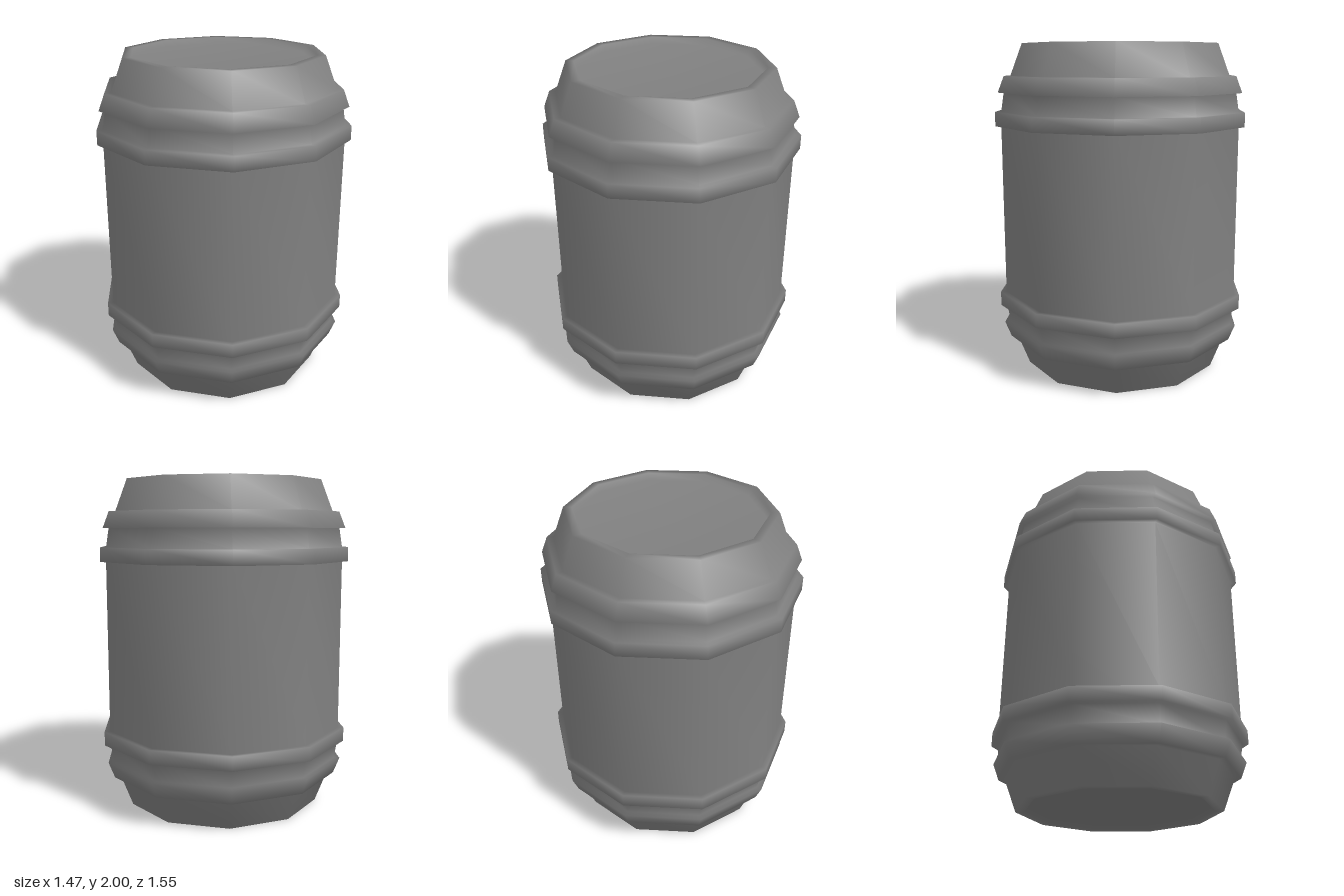
import * as THREE from 'three';
import { mergeVertices } from 'three/addons/utils/BufferGeometryUtils.js';

const SIDES = 10;

export function createModel() {
  const group = new THREE.Group();

  // Lower half profile as [radius, y], from the lid centre up to mid height
  const lowerHalf = [
    [0, 0.04], [0.54, 0.04],                                      // recessed lid
    [0.555, 0], [0.605, 0],                                       // rim
    [0.678, 0.19], [0.717, 0.19], [0.755, 0.287], [0.72, 0.287],  // tapered hoop
    [0.738, 0.4], [0.775, 0.4], [0.775, 0.485], [0.74, 0.485],    // straight hoop
  ];
  // The upper half mirrors the lower one about y = 1
  const upperHalf = lowerHalf.map(([r, y]) => [r, 2 - y]).reverse();
  const profile = [...lowerHalf, ...upperHalf].map(([r, y]) => new THREE.Vector2(r, y));

  // Weld the turned shape so that hoops, wall and lids share soft, area-weighted normals
  const turned = new THREE.LatheGeometry(profile, SIDES);
  turned.deleteAttribute('normal');
  turned.deleteAttribute('uv');
  const geometry = mergeVertices(turned);
  geometry.computeVertexNormals();

  const barrel = new THREE.Mesh(geometry, new THREE.MeshStandardMaterial({ color: 0x808080 }));
  barrel.name = 'barrel';
  group.add(barrel);
  return group;
}
